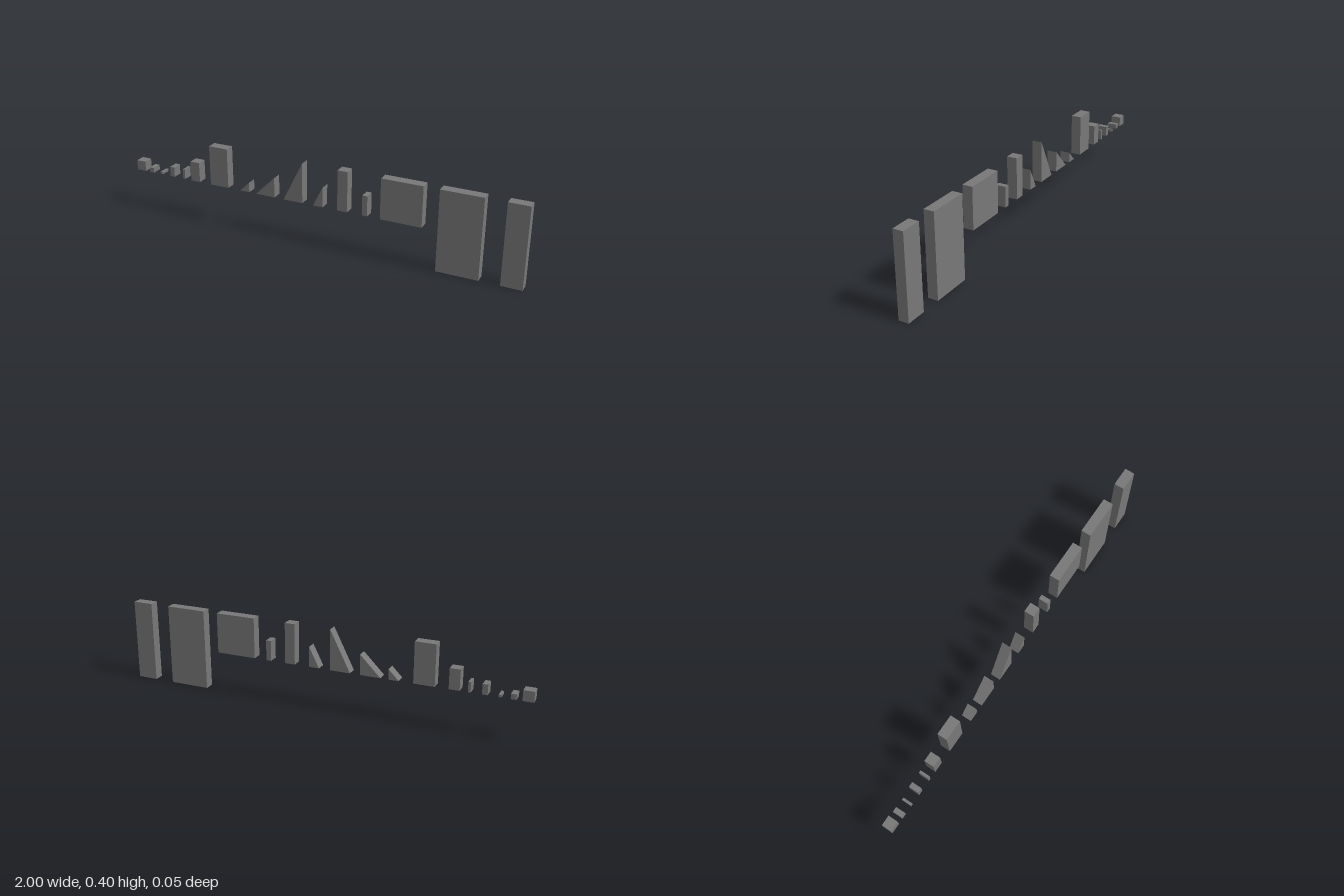
import * as THREE from 'three';

const U = 0.04975;      // one block unit
const DEPTH = 0.049;    // common thickness
const BASE = 4 * U;     // shared floor line of the short pieces

export function createModel() {
  const group = new THREE.Group();
  const grey = new THREE.MeshStandardMaterial({ color: 0x787878 });

  // Upright block from left edge, width, height in units and bottom level
  function block(name, x, w, h, y = BASE) {
    const mesh = new THREE.Mesh(new THREE.BoxGeometry(w * U, h * U, DEPTH), grey);
    mesh.position.set(x + w * U / 2, y + h * U / 2, 0);
    mesh.name = name;
    group.add(mesh);
  }

  // Ramp rising towards +x with a vertical right side
  function wedge(name, x, w, h) {
    const shape = new THREE.Shape();
    shape.moveTo(0, 0);
    shape.lineTo(w * U, 0);
    shape.lineTo(w * U, h * U);
    shape.closePath();
    const geometry = new THREE.ExtrudeGeometry(shape, { depth: DEPTH, bevelEnabled: false });
    geometry.translate(0, 0, -DEPTH / 2);
    const mesh = new THREE.Mesh(geometry, grey);
    mesh.position.set(x, BASE, 0);
    mesh.name = name;
    group.add(mesh);
  }

  // Small blocks
  block('cube', -1, 1, 1);
  block('halfBlock', -0.925, 0.5, 0.5);
  block('quarterBlock', -0.86, 0.25, 0.25);
  block('halfPost', -0.8, 0.5, 1);
  block('quarterPost', -0.725, 0.25, 1);
  block('doublePost', -0.676, 1, 2);
  block('wallPanel', -0.563, 2, 4);

  // Ramps
  wedge('smallRamp', -0.396, 1, 1);
  wedge('longRamp', -0.308, 2, 2);
  wedge('tallRamp', -0.16, 2, 4);
  wedge('steepRamp', -0.005, 1, 2);

  // Pillars and panels
  block('pillar', 0.119, 1, 4);
  block('thinPillar', 0.243, 0.5, 2);
  block('squarePanel', 0.331, 4, 4);
  block('tallPanel', 0.604, 4, 8, 0);
  block('tallPillar', 1 - 2 * U, 2, 8, 0);

  return group;
}
